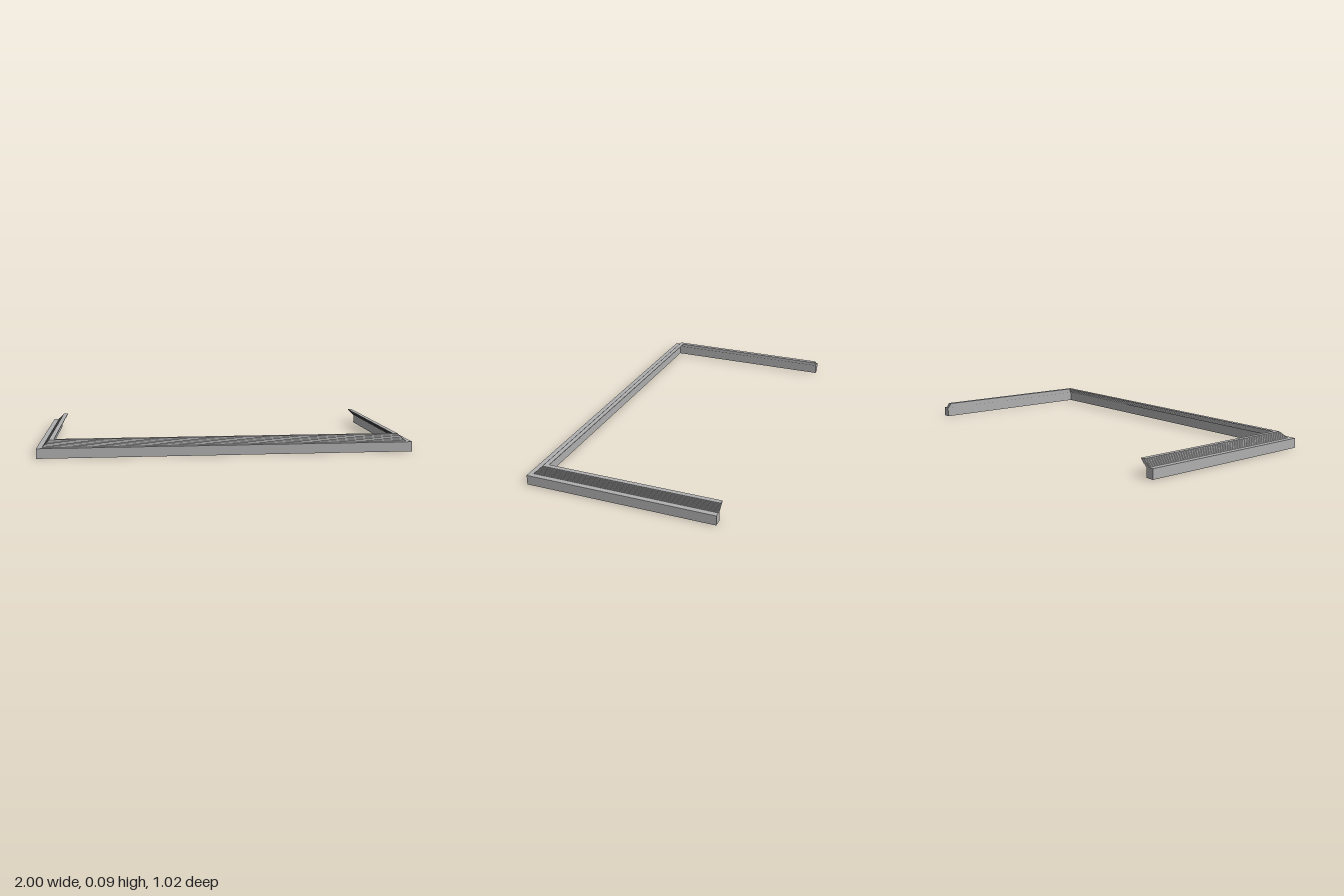
import * as THREE from 'three';

const HALF_X = 1, HALF_Z = 0.512;
const BASE_HEIGHT = 0.053, TOTAL_HEIGHT = 0.088;
const STEPS = 9;

// U-shaped slab, open at the back, lying between two insets from the outer edge
function uSlab(outer, inner, y0, y1) {
  const xo = HALF_X - outer, xi = HALF_X - inner;
  const fo = HALF_Z - outer, fi = HALF_Z - inner;
  const outline = [
    [-xo, -HALF_Z], [-xo, fo], [xo, fo], [xo, -HALF_Z],
    [xi, -HALF_Z], [xi, fi], [-xi, fi], [-xi, -HALF_Z],
  ];
  const shape = new THREE.Shape(outline.map(([x, z]) => new THREE.Vector2(x, -z)));
  const geometry = new THREE.ExtrudeGeometry(shape, { depth: y1 - y0, bevelEnabled: false });
  geometry.rotateX(-Math.PI / 2);
  geometry.translate(0, y0, 0);
  return geometry;
}

export function createModel() {
  const model = new THREE.Group();
  model.name = 'frame';
  const gray = new THREE.MeshStandardMaterial({ color: 0xb0b0b0 });
  gray.name = 'gray';

  // Square rail along the front and both sides
  const rail = new THREE.Mesh(uSlab(0, 0.046, 0, BASE_HEIGHT), gray);
  rail.name = 'baseRail';
  model.add(rail);

  // Lip leaning inward, made of fine steps
  const lip = new THREE.Group();
  lip.name = 'steppedLip';
  const rise = (TOTAL_HEIGHT - BASE_HEIGHT) / STEPS;
  for (let i = 0; i < STEPS; i++) {
    const inset = 0.028 + i * 0.004;
    const y = BASE_HEIGHT + i * rise;
    const step = new THREE.Mesh(uSlab(inset, inset + 0.025, y, y + rise), gray);
    step.name = `lipStep${i + 1}`;
    lip.add(step);
  }
  model.add(lip);
  return model;
}
